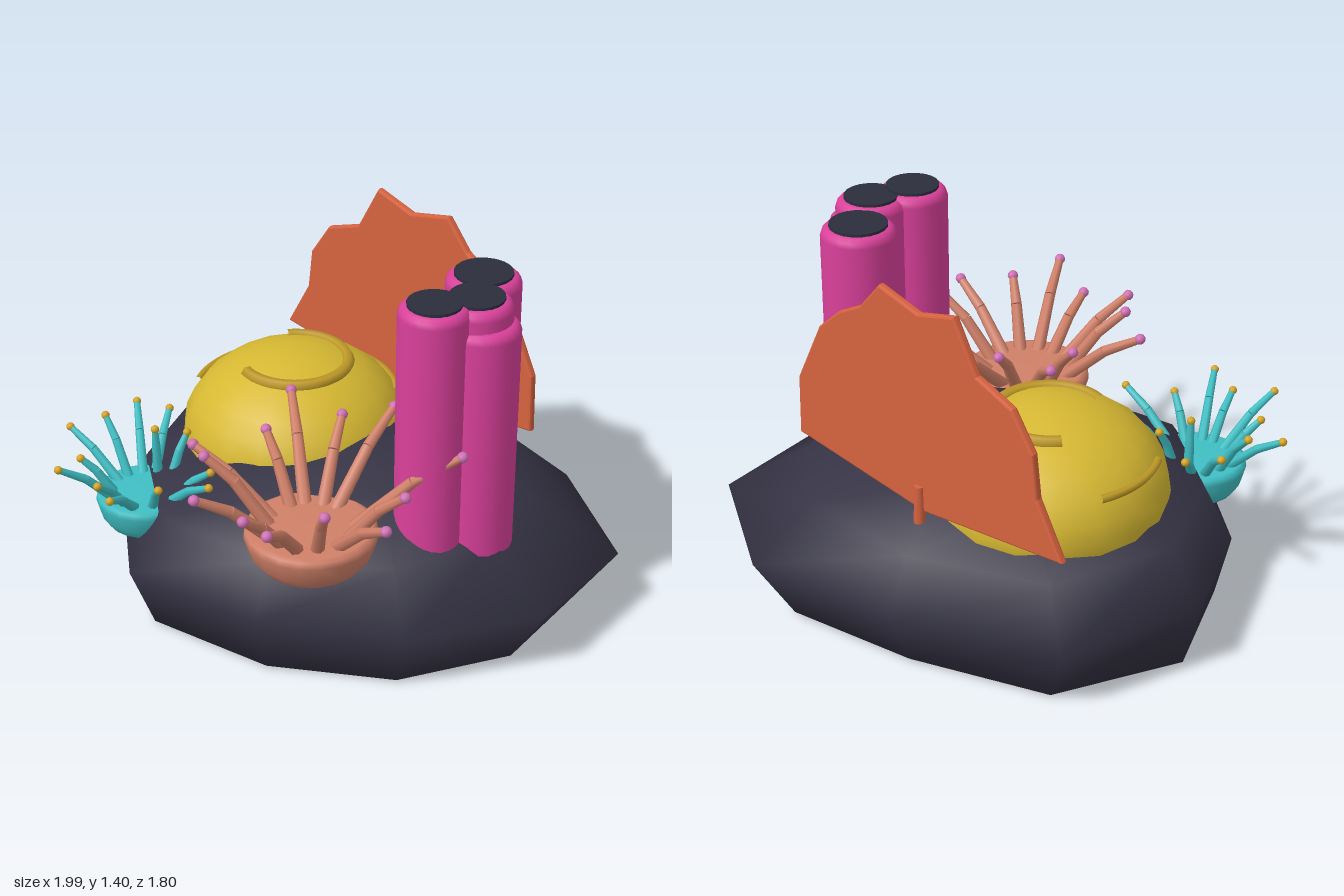
import * as THREE from 'three';

const mat = (name, color) => {
  const m = new THREE.MeshStandardMaterial({ color });
  m.name = name;
  return m;
};

export function createModel() {
  const rockMat = mat('dark rock', 0x353344);
  const yellow = mat('dome yellow', 0xd6b832);
  const ridgeMat = mat('ridge ochre', 0xbf9a28);
  const orange = mat('fan orange', 0xd6623f);
  const magenta = mat('tube magenta', 0xd9409a);
  const dark = mat('tube opening', 0x2b2e3c);
  const salmon = mat('anemone salmon', 0xd08068);
  const teal = mat('anemone teal', 0x3fbfc4);
  const pinkTip = mat('pink tip', 0xd070b4);
  const goldTip = mat('gold tip', 0xd4a524);

  const root = new THREE.Group();
  root.name = 'reef';
  const add = (name, geo, material, parent = root) => {
    const m = new THREE.Mesh(geo, material);
    m.name = name;
    parent.add(m);
    return m;
  };

  // Rock: one ten-sided outline, scaled into stacked rings
  const outline = [[0, -0.9], [0.61, -0.81], [0.99, -0.38], [0.9, 0.12], [0.52, 0.48],
    [0, 0.62], [-0.56, 0.56], [-0.86, 0.12], [-0.93, -0.37], [-0.62, -0.83]];
  const rings = [
    { y: 0.01, s: [0.83, 0.84, 0.82, 0.85, 0.88, 0.9, 0.9, 0.94, 0.94, 0.87] },
    { y: 0.25, s: Array(10).fill(1) },
    { y: 0.46, s: [0.86, 0.75, 0.68, 0.73, 0.82, 0.87, 0.85, 0.88, 0.87, 0.86] },
    { y: 0.59, s: Array(10).fill(0.5) },
  ];
  const pos = [], index = [], n = outline.length, cz = -0.13;
  for (const { y, s } of rings)
    outline.forEach(([x, z], i) => pos.push(x * s[i], y, cz + (z - cz) * s[i]));
  const bottom = pos.length / 3;
  pos.push(0, 0, cz, 0.05, 0.66, cz);
  for (let i = 0; i < n; i++) {
    const j = (i + 1) % n;
    for (let r = 0; r < rings.length - 1; r++) {
      const a = r * n + i, b = r * n + j;
      index.push(a, a + n, b, b, a + n, b + n);
    }
    const top = (rings.length - 1) * n;
    index.push(bottom, i, j, top + i, bottom + 1, top + j);
  }
  const rockGeo = new THREE.BufferGeometry();
  rockGeo.setAttribute('position', new THREE.Float32BufferAttribute(pos, 3));
  rockGeo.setIndex(index);
  rockGeo.computeVertexNormals();
  add('rock', rockGeo, rockMat);

  // Dome coral with sunken curved ridges
  const dome = new THREE.Group();
  dome.name = 'domeCoral';
  dome.position.set(-0.295, 0.53, -0.245);
  root.add(dome);
  add('dome', new THREE.SphereGeometry(1, 18, 14), yellow, dome).scale.set(0.43, 0.325, 0.44);
  const ridge = (r, y, start, arc, tube) => {
    const g = new THREE.TorusGeometry(r, tube, 6, 32, arc);
    g.rotateX(Math.PI / 2);
    g.rotateY(-start);
    add('ridge', g, ridgeMat, dome).position.y = y;
  };
  ridge(0.2, 0.285, -2.2, 4.4, 0.024);
  ridge(0.385, 0.148, 2.9, 0.9, 0.015);
  ridge(0.385, 0.148, -1.4, 0.9, 0.015);

  // Fan coral: upright jagged plate on a short stem
  const fan = new THREE.Group();
  fan.name = 'fanCoral';
  fan.position.set(-0.015, 0, -0.645);
  fan.rotation.y = -Math.atan2(0.37, 1.21);
  root.add(fan);
  const fanShape = new THREE.Shape([[-0.63, 0.64], [0, 0.57], [0.625, 0.64], [0.62, 0.86],
    [0.5, 1.1], [0.4, 1.19], [0.29, 1.25], [0.195, 1.36], [0.015, 1.315], [-0.15, 1.36],
    [-0.25, 1.18], [-0.41, 1.12], [-0.5, 0.99], [-0.52, 0.83]]
    .map(([x, y]) => new THREE.Vector2(x, y)));
  const fanGeo = new THREE.ExtrudeGeometry(fanShape,
    { depth: 0.014, bevelThickness: 0.008, bevelSize: 0.008, bevelSegments: 2 });
  fanGeo.translate(0, 0, -0.007);
  add('fan', fanGeo, orange, fan);
  add('fanStem', new THREE.CylinderGeometry(0.018, 0.024, 0.22, 8), orange, fan)
    .position.set(0.02, 0.55, -0.015);

  // Tube sponges with rounded rims and dark openings
  const tubes = [[0.44, 0.12, 0.128, 1.395, true], [0.54, -0.01, 0.13, 1.385, true],
    [0.475, -0.215, 0.137, 1.37, true], [0.57, 0, 0.135, 1.31, false]];
  for (const [x, z, r, h, open] of tubes) {
    const g = new THREE.Group();
    g.name = 'tubeSponge';
    g.position.set(x, 0, z);
    root.add(g);
    const profile = [[r, 0.4], [r, h - 0.035], [r - 0.006, h - 0.016],
      [r - 0.018, h - 0.004], [r - 0.032, h], [0, h]].map(([a, b]) => new THREE.Vector2(a, b));
    add('tube', new THREE.LatheGeometry(profile, 24), magenta, g);
    if (open)
      add('opening', new THREE.CylinderGeometry(r - 0.031, r - 0.031, 0.012, 20), dark, g)
        .position.y = h + 0.004;
  }

  // Tapered limb between two points
  const limb = (a, b, ra, rb, material, parent) => {
    const d = b.clone().sub(a);
    const m = add('tentacle', new THREE.CylinderGeometry(rb, ra, d.length(), 7), material, parent);
    m.position.copy(a).addScaledVector(d, 0.5);
    m.quaternion.setFromUnitVectors(new THREE.Vector3(0, 1, 0), d.normalize());
  };

  // Anemone: bowl body and bent tentacles leading to the listed tips
  const anemone = (name, [cx, cz], r, y0, y1, thick, skin, tipMat, tips) => {
    const g = new THREE.Group();
    g.name = name;
    root.add(g);
    const h = y1 - y0;
    const bowl = [[0, 0], [0.6, 0], [0.78, 0.12], [0.92, 0.4], [1, 0.8], [0.98, 0.95], [0.9, 1], [0, 1.02]]
      .map(([a, b]) => new THREE.Vector2(a * r, b * h));
    add('body', new THREE.LatheGeometry(bowl, 20), skin, g).position.set(cx, y0, cz);
    for (const [x, z, y] of tips) {
      const tip = new THREE.Vector3(x, y, z);
      const out = new THREE.Vector3(x - cx, 0, z - cz);
      const start = new THREE.Vector3(cx, y1 - 0.02, cz)
        .addScaledVector(out.clone().normalize(), r * 0.6);
      const mid = start.clone().lerp(tip, 0.55);
      mid.y += (y - y1) * 0.12;
      limb(start, mid, thick, thick * 0.82, skin, g);
      limb(mid, tip, thick * 0.82, thick * 0.6, skin, g);
      add('tip', new THREE.IcosahedronGeometry(thick * 0.8, 1), tipMat, g).position.copy(tip);
    }
  };
  anemone('salmonAnemone', [0.12, 0.42], 0.24, 0.425, 0.585, 0.026, salmon, pinkTip, [
    [-0.18, 0, 0.84], [-0.16, 0.23, 0.8], [-0.34, 0.44, 0.8], [-0.23, 0.55, 0.84],
    [-0.15, 0.76, 0.8], [0.04, 0.76, 0.77], [0.2, 0.88, 0.83], [0.31, 0.68, 0.82],
    [0.51, 0.62, 0.79], [0.49, 0.43, 0.81], [0.58, 0.16, 0.85], [0.2, -0.08, 0.83], [0.05, 0.04, 0.82]]);
  anemone('tealAnemone', [-0.64, 0.3], 0.185, 0.305, 0.45, 0.02, teal, goldTip, [
    [-0.72, -0.02, 0.61], [-0.84, 0.02, 0.63], [-0.88, 0.18, 0.64], [-0.98, 0.27, 0.61],
    [-0.84, 0.42, 0.59], [-0.83, 0.58, 0.63], [-0.67, 0.57, 0.6], [-0.56, 0.66, 0.62],
    [-0.47, 0.48, 0.59], [-0.3, 0.41, 0.61], [-0.38, 0.26, 0.57], [-0.56, 0.12, 0.62],
    [-0.65, 0.2, 0.65]]);

  return root;
}
